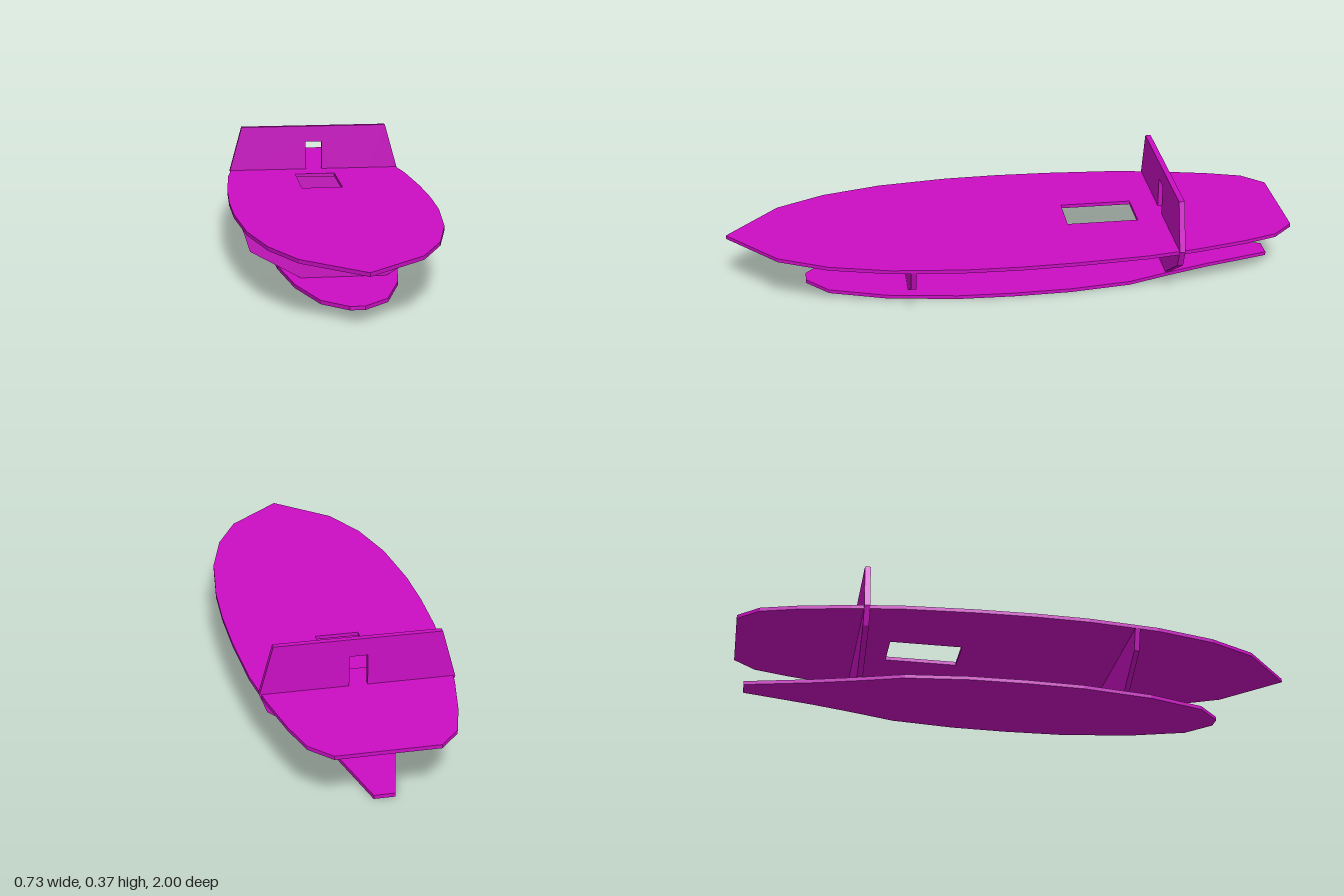
import * as THREE from 'three';

// Mirror a half outline [halfWidth, v] across x = 0
function mirrored(half) {
  const left = half.filter(([x]) => x > 0).map(([x, v]) => [-x, v]).reverse();
  return [...half, ...left].map(([x, v]) => new THREE.Vector2(x, v));
}

function rectHole(x0, x1, v0, v1) {
  return new THREE.Path([[x0, v0], [x0, v1], [x1, v1], [x1, v0]].map(([x, v]) => new THREE.Vector2(x, v)));
}

function sheet(name, half, hole, thickness, material) {
  const shape = new THREE.Shape(mirrored(half));
  if (hole) shape.holes.push(hole);
  const geometry = new THREE.ExtrudeGeometry(shape, { depth: thickness, bevelEnabled: false });
  const mesh = new THREE.Mesh(geometry, material);
  mesh.name = name;
  return mesh;
}

// Horizontal sheet: outline given as [halfWidth, z], lying on height y
function layFlat(mesh, y, thickness) {
  mesh.geometry.rotateX(Math.PI / 2);
  mesh.position.y = y + thickness;
  return mesh;
}

export function createModel() {
  const group = new THREE.Group();
  group.name = 'boatFrame';
  const magenta = new THREE.MeshStandardMaterial({ color: 0xcc0ec4 });
  magenta.name = 'magenta';
  const t = 0.013;

  // Deck with a pointed bow, a flat stern and a hatch
  const deck = sheet('deck', [
    [0.17, -1], [0.24, -0.925], [0.278, -0.8], [0.317, -0.62], [0.343, -0.45],
    [0.36, -0.2], [0.365, 0], [0.36, 0.19], [0.333, 0.44], [0.28, 0.65], [0.197, 0.82], [0, 1],
  ], rectHole(-0.082, 0.07, -0.465, -0.21), t, magenta);
  group.add(layFlat(deck, 0.184, t));

  // Narrow hull bottom
  const bottom = sheet('hullBottom', [
    [0.035, -0.96], [0.095, -0.72], [0.14, -0.57], [0.19, -0.42], [0.215, -0.2], [0.219, 0],
    [0.212, 0.2], [0.175, 0.45], [0.11, 0.65], [0.025, 0.73],
  ], null, t, magenta);
  group.add(layFlat(bottom, 0, t));

  // Front bulkhead between bottom and deck
  const front = sheet('frontBulkhead', [
    [0.142, 0.01], [0.318, 0.11], [0.342, 0.186],
  ], null, 0.018, magenta);
  front.position.z = 0.355;
  group.add(front);

  // Rear bulkhead rising above the deck, with a doorway
  const rear = sheet('rearBulkhead', [
    [0.13, 0.01], [0.305, 0.13], [0.33, 0.195], [0.282, 0.367],
  ], rectHole(-0.031, 0.031, 0.195, 0.305), 0.02, magenta);
  rear.position.z = -0.58;
  group.add(rear);

  return group;
}
